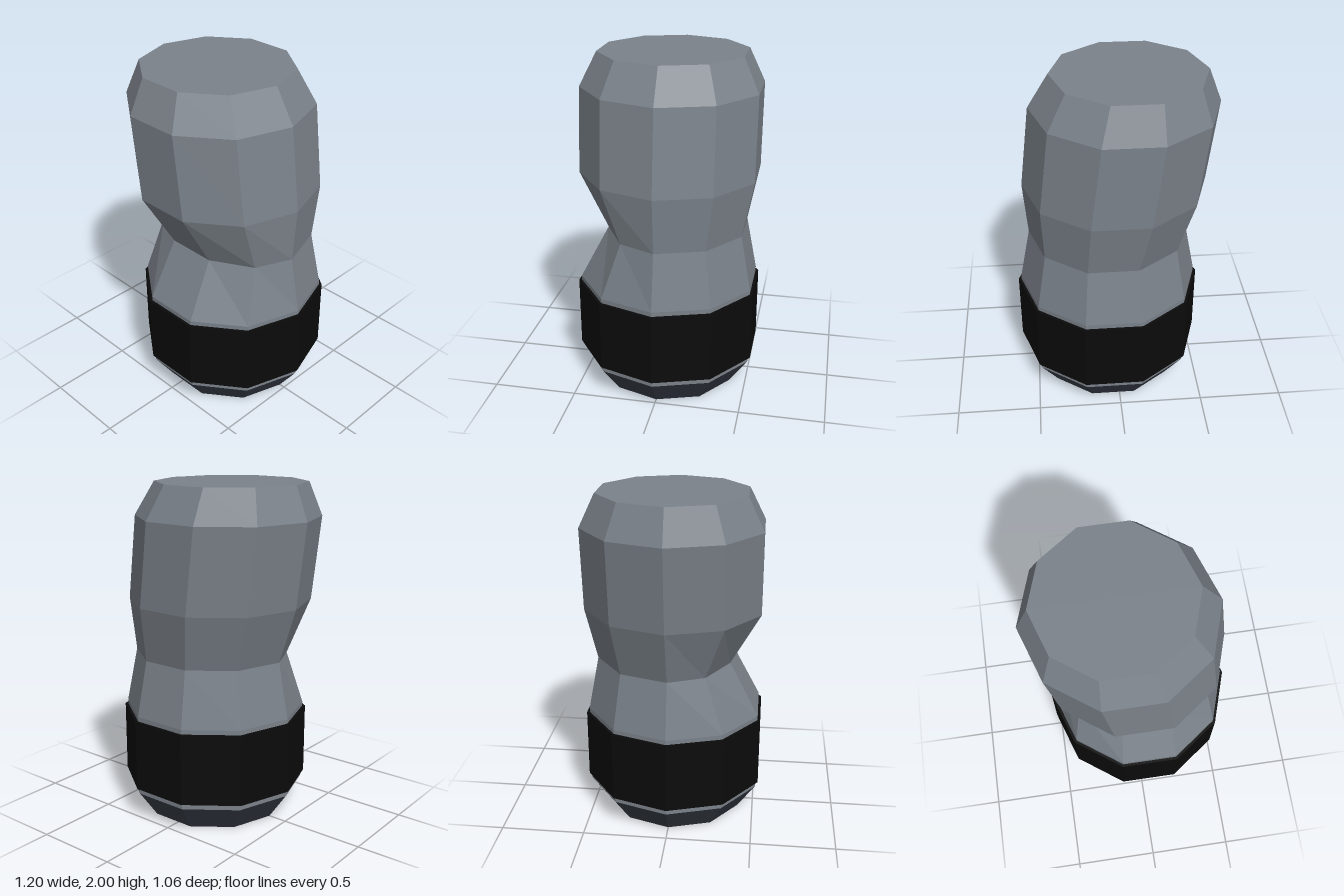
import * as THREE from 'three';

const SIDES = 10;

const flat = (name, color) => {
  const m = new THREE.MeshStandardMaterial({ color, flatShading: true });
  m.name = name;
  return m;
};

// Ten-sided cross-section; front scales only the +z half.
function ring({ y, x, r, front = 1 }) {
  return Array.from({ length: SIDES }, (_, k) => {
    const a = (k / SIDES) * Math.PI * 2;
    const z = r * Math.sin(a);
    return [x + r * Math.cos(a), y, z > 0 ? z * front : z];
  });
}

// Skins a stack of cross-sections from bottom to top, with optional end caps.
function loft(sections, capBottom, capTop) {
  const rings = sections.map(ring);
  const pos = [];
  const tri = (a, b, c) => pos.push(...a, ...b, ...c);
  for (let i = 0; i < rings.length - 1; i++) {
    const lo = rings[i], hi = rings[i + 1];
    for (let k = 0; k < SIDES; k++) {
      const n = (k + 1) % SIDES;
      tri(lo[k], hi[k], hi[n]);
      tri(lo[k], hi[n], lo[n]);
    }
  }
  const cap = (s, pts, up) => {
    const c = [s.x, s.y, 0];
    for (let k = 0; k < SIDES; k++) {
      const n = (k + 1) % SIDES;
      if (up) tri(c, pts[n], pts[k]);
      else tri(c, pts[k], pts[n]);
    }
  };
  if (capBottom) cap(sections[0], rings[0], false);
  if (capTop) cap(sections.at(-1), rings.at(-1), true);
  const g = new THREE.BufferGeometry();
  g.setAttribute('position', new THREE.Float32BufferAttribute(pos, 3));
  g.computeVertexNormals();
  return g;
}

export function createModel() {
  const group = new THREE.Group();
  group.name = 'grip';
  const add = (name, geometry, material) => {
    const mesh = new THREE.Mesh(geometry, material);
    mesh.name = name;
    group.add(mesh);
  };

  const bottom = { y: 0, x: 0.04, r: 0.425 };
  const baseRim = { y: 0.165, x: 0.04, r: 0.54 };

  // Dark chamfered foot
  add('base', loft([bottom, baseRim], true, false), flat('dark slate', 0x393e48));

  // Leaning body, pinched in at the front of the waist
  add('body', loft([
    baseRim,
    { y: 0.655, x: 0.04, r: 0.54 },
    { y: 0.987, x: 0.04, r: 0.475, front: 0.753 },
    { y: 1.312, x: 0, r: 0.54 },
    { y: 1.805, x: -0.06, r: 0.54 },
    { y: 2, x: -0.083, r: 0.442 },
  ], false, true), flat('slate grey', 0x7b828a));

  // Wide band around the lower body
  add('band', loft([
    { y: 0.2, x: 0.04, r: 0.557 },
    { y: 0.628, x: 0.04, r: 0.557 },
  ], true, true), flat('black', 0x0b0b0b));

  return group;
}
